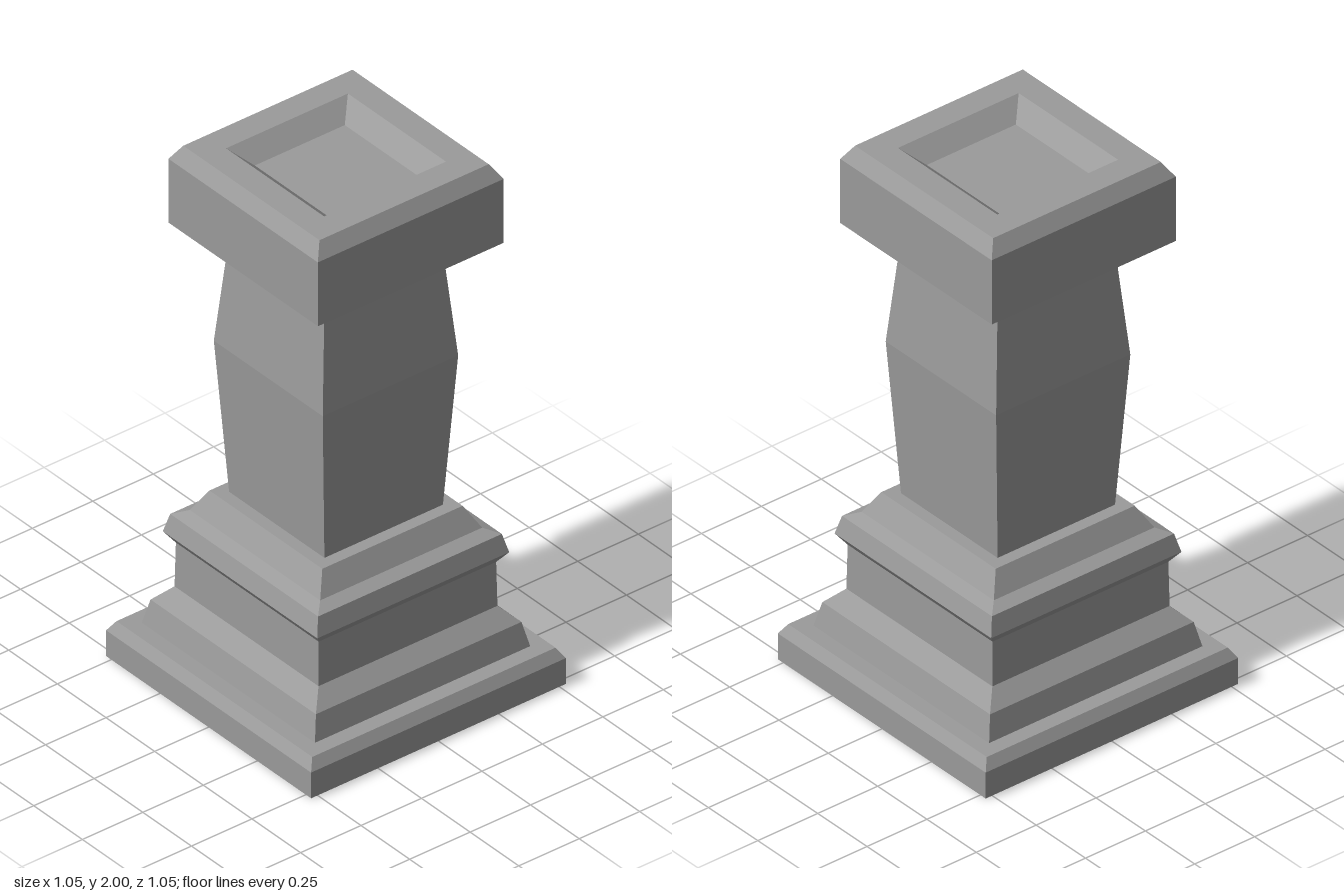
import * as THREE from 'three';

const material = new THREE.MeshStandardMaterial({ color: 0x9b9b9b, flatShading: true });

// Square moulding: a four-sided lathe of [half width, height] points, listed bottom to top
function squareMoulding(name, profile) {
  const points = profile.map(([half, y]) => new THREE.Vector2(half * Math.SQRT2, y));
  const lathe = new THREE.LatheGeometry(points, 4);
  lathe.rotateY(Math.PI / 4);
  const geometry = lathe.toNonIndexed();
  geometry.computeVertexNormals();
  const mesh = new THREE.Mesh(geometry, material);
  mesh.name = name;
  return mesh;
}

export function createModel() {
  const group = new THREE.Group();
  group.name = 'pedestal';

  group.add(
    // Bottom slab with a chamfered top edge
    squareMoulding('footSlab', [
      [0, 0], [0.527, 0], [0.527, 0.1], [0.503, 0.138], [0.445, 0.138],
    ]),
    // Sloped skirt and upright plinth
    squareMoulding('plinth', [
      [0.445, 0.138], [0.425, 0.23], [0.37, 0.287], [0.367, 0.457],
    ]),
    // Projecting lip that steps in to the shaft
    squareMoulding('plinthMoulding', [
      [0.367, 0.457], [0.397, 0.498], [0.38, 0.567], [0.335, 0.587], [0.29, 0.667], [0.245, 0.667],
    ]),
    // Shaft, swelling above its middle
    squareMoulding('shaft', [
      [0.245, 0.667], [0.28, 1.25], [0.251, 1.585],
    ]),
    // Flared cap with a shallow square recess in its top
    squareMoulding('cap', [
      [0.251, 1.585], [0.384, 1.698], [0.384, 1.946], [0.35, 2],
      [0.252, 2], [0.186, 1.94], [0, 1.94],
    ]),
  );
  return group;
}
